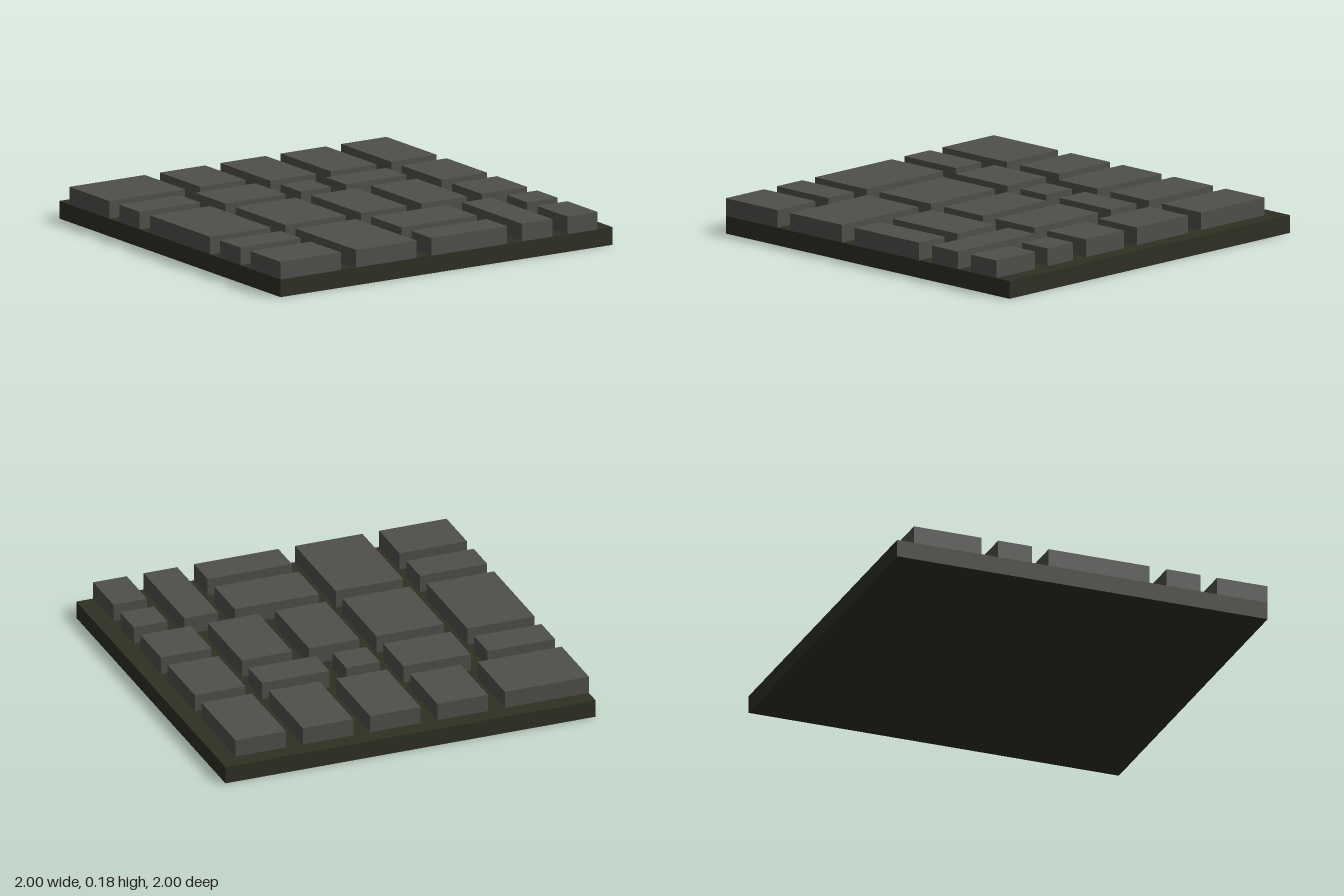
import * as THREE from 'three';

const CELL = 1 / 11; // the slab is a 22 x 22 cell grid

// Paving stones as cell ranges: [x0, x1, z0, z1], from the back left corner
const STONES = [
  [0, 5, 1, 5], [6, 9, 1, 5], [10, 13, 1, 6], [14, 17, 1, 6], [18, 21, 1, 6],
  [0, 4, 6, 8], [5, 9, 6, 9], [10, 12, 7, 9], [13, 17, 7, 9], [18, 21, 7, 11],
  [0, 4, 9, 15], [5, 9, 10, 15], [10, 13, 10, 15], [14, 17, 10, 15], [18, 21, 12, 15],
  [0, 4, 16, 18], [5, 9, 16, 22], [10, 15, 16, 19], [16, 18, 16, 22], [19, 21, 16, 18],
  [0, 4, 19, 22], [10, 15, 20, 22], [19, 21, 19, 22],
];

export function createModel() {
  const group = new THREE.Group();
  group.name = 'pavingTile';
  const earth = new THREE.MeshStandardMaterial({ name: 'dark earth', color: 0x2f2f23 });
  const stone = new THREE.MeshStandardMaterial({ name: 'grey stone', color: 0x4f4f4b });

  // Box spanning cell ranges, one cell high, standing on the given layer
  const addBlock = (name, [x0, x1, z0, z1], layer, material) => {
    const geometry = new THREE.BoxGeometry((x1 - x0) * CELL, CELL, (z1 - z0) * CELL);
    const mesh = new THREE.Mesh(geometry, material);
    mesh.name = name;
    mesh.position.set((x0 + x1) / 2 * CELL - 1, (layer + 0.5) * CELL, (z0 + z1) / 2 * CELL - 1);
    group.add(mesh);
  };

  // Ground slab, then the raised stones on it
  addBlock('groundSlab', [0, 22, 0, 22], 0, earth);
  STONES.forEach((range, i) => addBlock(`pavingStone${i + 1}`, range, 1, stone));

  return group;
}
